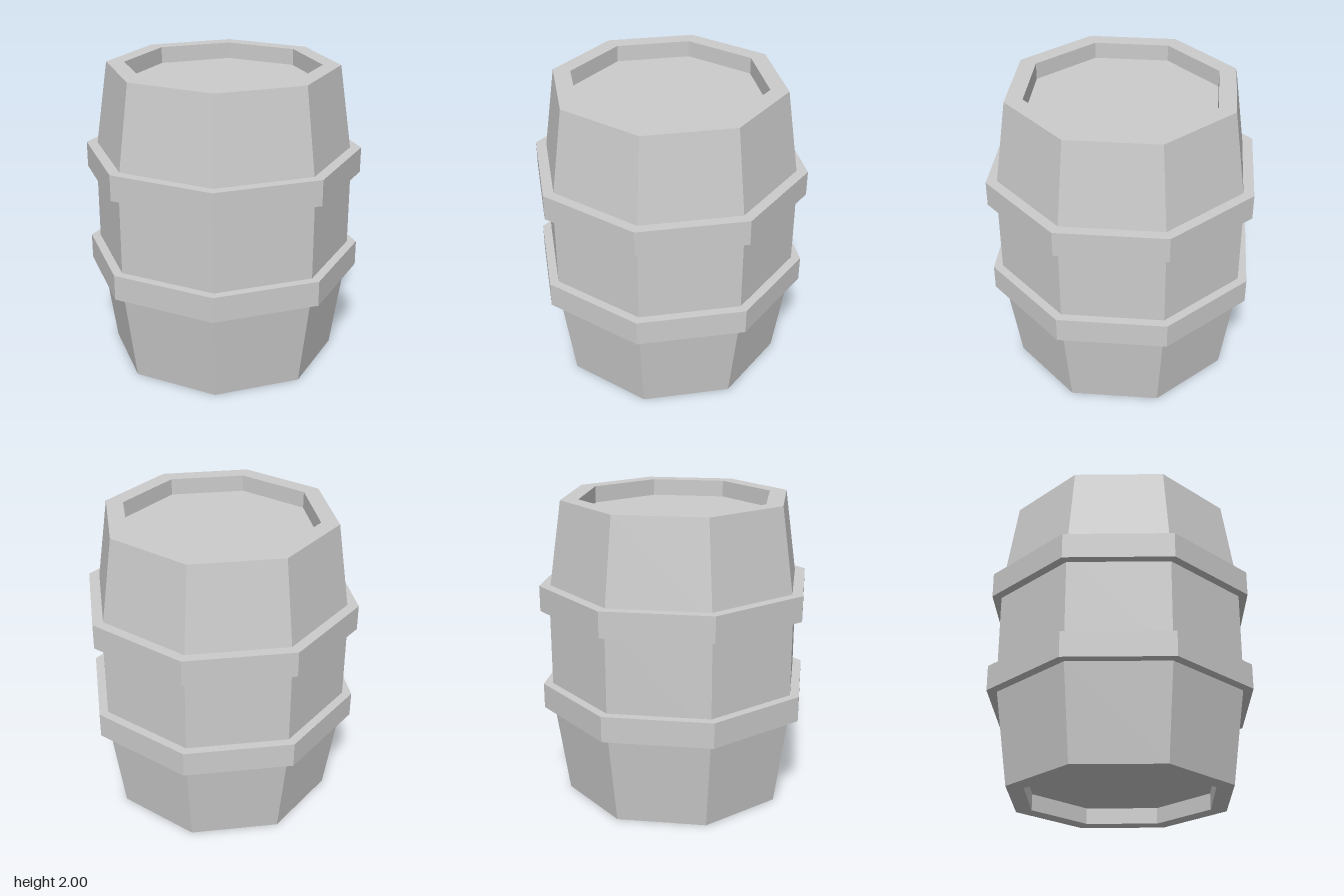
import * as THREE from 'three';

const SIDES = 8;
const material = new THREE.MeshStandardMaterial({ color: 0xcccccc, flatShading: true });

// Spin a [radius, y] profile, listed from bottom to top, into an eight-sided part
function turned(name, profile) {
  const points = profile.map(([r, y]) => new THREE.Vector2(r, y));
  const mesh = new THREE.Mesh(new THREE.LatheGeometry(points, SIDES), material);
  mesh.name = name;
  return mesh;
}

export function createModel() {
  const barrel = new THREE.Group();
  barrel.name = 'barrel';

  // Staves with a rim and a recessed lid at both ends
  const rim = 0.757, lid = 0.64, belly = 0.85, recess = 0.11;
  barrel.add(turned('body', [
    [0, recess], [lid, recess], [lid, 0], [rim, 0],
    [belly, 0.65], [belly, 1.38],
    [rim, 2], [lid, 2], [lid, 2 - recess], [0, 2 - recess],
  ]));

  // Two hoops, their inner edges sunk into the staves
  const hoopRadius = 0.912, hoopHeight = 0.168;
  [['lowerHoop', 0.61], ['upperHoop', 1.284]].forEach(([name, y]) => {
    barrel.add(turned(name, [
      [0.8, y], [hoopRadius, y],
      [hoopRadius, y + hoopHeight], [0.8, y + hoopHeight],
    ]));
  });

  return barrel;
}
